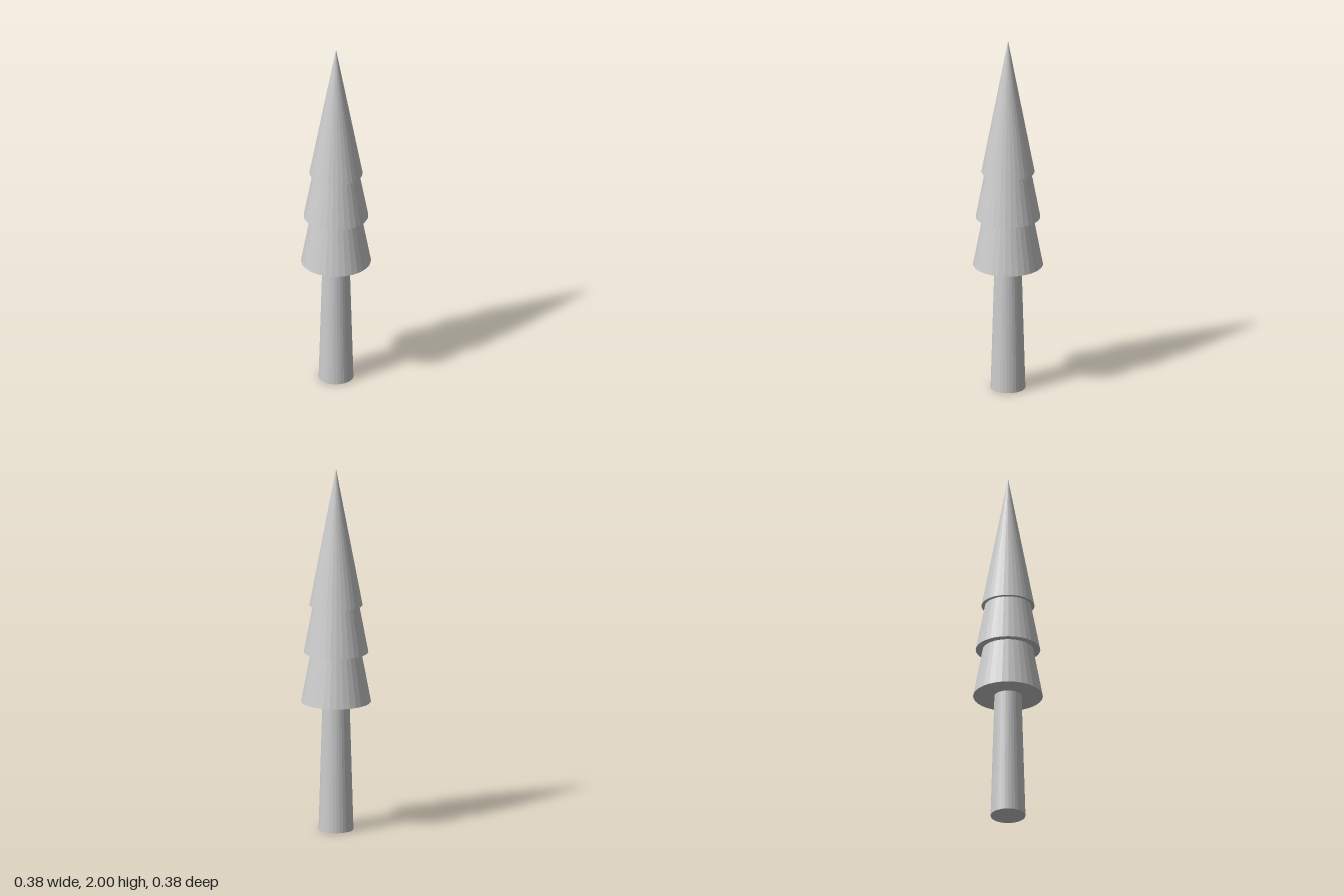
import * as THREE from 'three';

const SIDES = 32;

export function createModel() {
  const tree = new THREE.Group();
  tree.name = 'tree';
  const lightGrey = new THREE.MeshStandardMaterial({ color: 0xcccccc, flatShading: true });
  lightGrey.name = 'lightGrey';

  // Adds a closed upright cone or tapered cylinder standing at height y
  function addPart(name, topRadius, bottomRadius, y, height) {
    const geometry = topRadius > 0
      ? new THREE.CylinderGeometry(topRadius, bottomRadius, height, SIDES)
      : new THREE.ConeGeometry(bottomRadius, height, SIDES);
    const mesh = new THREE.Mesh(geometry, lightGrey);
    mesh.name = name;
    mesh.position.y = y + height / 2;
    tree.add(mesh);
  }

  // Tapered trunk
  addPart('trunk', 0.073, 0.094, 0, 0.715);

  // Three nested tiers of foliage
  addPart('lowerFoliage', 0, 0.188, 0.71, 1.0);
  addPart('middleFoliage', 0, 0.174, 0.985, 0.91);
  addPart('topFoliage', 0, 0.143, 1.245, 0.755);

  return tree;
}
